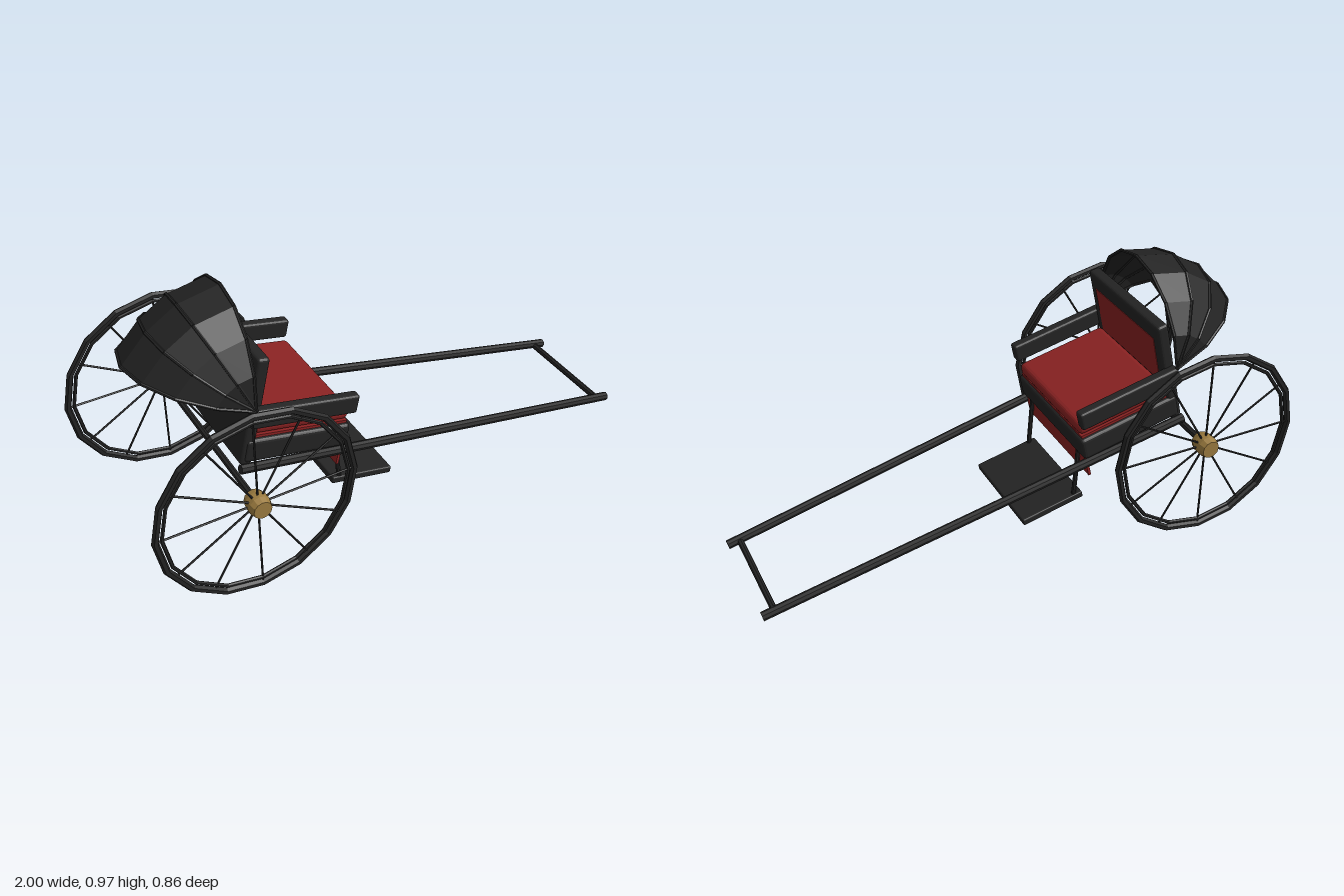
import * as THREE from 'three';
import { RoundedBoxGeometry } from 'three/addons/geometries/RoundedBoxGeometry.js';

const black = new THREE.MeshStandardMaterial({ color: 0x242424 });
black.name = 'black lacquer';
const hoodBlack = new THREE.MeshStandardMaterial({ color: 0x222222, side: THREE.DoubleSide });
hoodBlack.name = 'hood cloth';
const red = new THREE.MeshStandardMaterial({ color: 0x8a2222 });
red.name = 'red upholstery';
const brass = new THREE.MeshStandardMaterial({ color: 0x9c7c40 });
brass.name = 'brass';

const V = (x, y, z) => new THREE.Vector3(x, y, z);

// Faceted mesh with hard edges
function part(parent, name, geometry, material) {
  const g = geometry.index ? geometry.toNonIndexed() : geometry;
  g.computeVertexNormals();
  const mesh = new THREE.Mesh(g, material);
  mesh.name = name;
  parent.add(mesh);
  return mesh;
}

// Straight round bar between two points
function rod(parent, name, a, b, radius, sides = 8) {
  const dir = b.clone().sub(a);
  const mesh = part(parent, name, new THREE.CylinderGeometry(radius, radius, dir.length(), sides), black);
  mesh.position.copy(a).add(b).multiplyScalar(0.5);
  mesh.quaternion.setFromUnitVectors(V(0, 1, 0), dir.normalize());
  return mesh;
}

// Box given by its extents, with softened edges
function block(parent, name, x0, x1, y0, y1, z0, z1, radius, material) {
  const w = x1 - x0, h = y1 - y0, d = z1 - z0;
  const g = radius ? new RoundedBoxGeometry(w, h, d, 2, radius) : new THREE.BoxGeometry(w, h, d);
  const mesh = part(parent, name, g, material);
  mesh.position.set((x0 + x1) / 2, (y0 + y1) / 2, (z0 + z1) / 2);
  return mesh;
}

// Wheel in its own x-y plane
function wheel() {
  const group = new THREE.Group();
  group.name = 'wheel';
  part(group, 'tyre', new THREE.TorusGeometry(0.359, 0.013, 6, 16), black);
  part(group, 'innerRim', new THREE.TorusGeometry(0.336, 0.007, 6, 16), black);
  for (let i = 0; i < 12; i++) {
    const a = i * Math.PI / 6, c = Math.cos(a), s = Math.sin(a);
    rod(group, 'spoke', V(c * 0.03, s * 0.03, 0), V(c * 0.35, s * 0.35, 0), 0.004, 5);
  }
  const profile = [[0, -0.038], [0.033, -0.038], [0.04, -0.015], [0.04, 0.015], [0.033, 0.038], [0, 0.038]];
  const hub = part(group, 'hub', new THREE.LatheGeometry(profile.map(p => new THREE.Vector2(...p)), 12), brass);
  hub.rotation.x = Math.PI / 2;
  return group;
}

// Folding hood: arched ribs sharing one pivot on each side
function hood() {
  const group = new THREE.Group();
  group.name = 'hood';
  const pivot = [-0.56, 0.645], halfWidth = 0.275, steps = 8;
  const tips = [[-0.535, 0.97], [-0.69, 0.943], [-0.803, 0.874], [-0.897, 0.775]];
  const ribs = tips.map(([tx, ty]) => Array.from({ length: steps + 1 }, (_, i) => {
    const a = i * Math.PI / steps, s = Math.sin(a);
    return V(pivot[0] + (tx - pivot[0]) * s, pivot[1] + (ty - pivot[1]) * s, halfWidth * Math.cos(a));
  }));
  const points = [];
  for (let r = 0; r < ribs.length - 1; r++) {
    for (let i = 0; i < steps; i++) {
      const a = ribs[r][i], b = ribs[r][i + 1], c = ribs[r + 1][i + 1], d = ribs[r + 1][i];
      if (i < steps - 1) points.push(a, b, c);
      if (i > 0) points.push(a, c, d);
    }
  }
  part(group, 'hoodCloth', new THREE.BufferGeometry().setFromPoints(points), hoodBlack);
  for (const rib of ribs) {
    for (let i = 0; i < steps; i++) rod(group, 'hoodRib', rib[i], rib[i + 1], 0.006, 6);
  }
  return group;
}

export function createModel() {
  const model = new THREE.Group();
  model.name = 'handCart';
  const ax = -0.628, ay = 0.373;

  // Running gear
  for (const side of [-1, 1]) {
    const w = wheel();
    w.position.set(ax, ay, side * 0.391);
    model.add(w);
  }
  rod(model, 'axle', V(ax, ay, -0.39), V(ax, ay, 0.39), 0.012);

  // Pulling shafts and crossbar
  for (const side of [-1, 1]) {
    rod(model, 'shaft', V(-0.62, 0.408, side * 0.25), V(0.995, 0.045, side * 0.21), 0.017);
  }
  rod(model, 'crossbar', V(0.95, 0.053, -0.21), V(0.95, 0.053, 0.21), 0.012);

  // Body, tipped forward about the axle
  const body = new THREE.Group();
  body.name = 'body';
  body.position.set(ax, ay, 0);
  body.rotation.z = -0.2216;
  model.add(body);

  block(body, 'seatBase', 0.01, 0.41, 0.055, 0.145, -0.25, 0.25, 0.015, black);
  block(body, 'seatBoard', 0.03, 0.398, 0.14, 0.155, -0.235, 0.235, 0, red);
  block(body, 'seatCushion', 0.04, 0.402, 0.155, 0.207, -0.235, 0.235, 0.02, red);
  block(body, 'backrest', 0, 0.045, 0.045, 0.457, -0.245, 0.245, 0.012, black);
  block(body, 'backPanel', 0.04, 0.047, 0.205, 0.395, -0.205, 0.205, 0, red);
  block(body, 'frontSkirt', 0.392, 0.402, -0.03, 0.06, -0.235, 0.235, 0, red);
  block(body, 'footrest', 0.425, 0.675, -0.153, -0.126, -0.195, 0.195, 0.006, black);
  for (const side of [-1, 1]) {
    const arm = block(body, 'armrest', 0, 0.403, 0.208, 0.28, -0.02, 0.02, 0.01, black);
    arm.position.z = side * 0.256;
    rod(body, 'footrestStrut', V(0.4, 0.06, side * 0.182), V(0.457, -0.135, side * 0.182), 0.009);
  }

  model.add(hood());
  return model;
}
